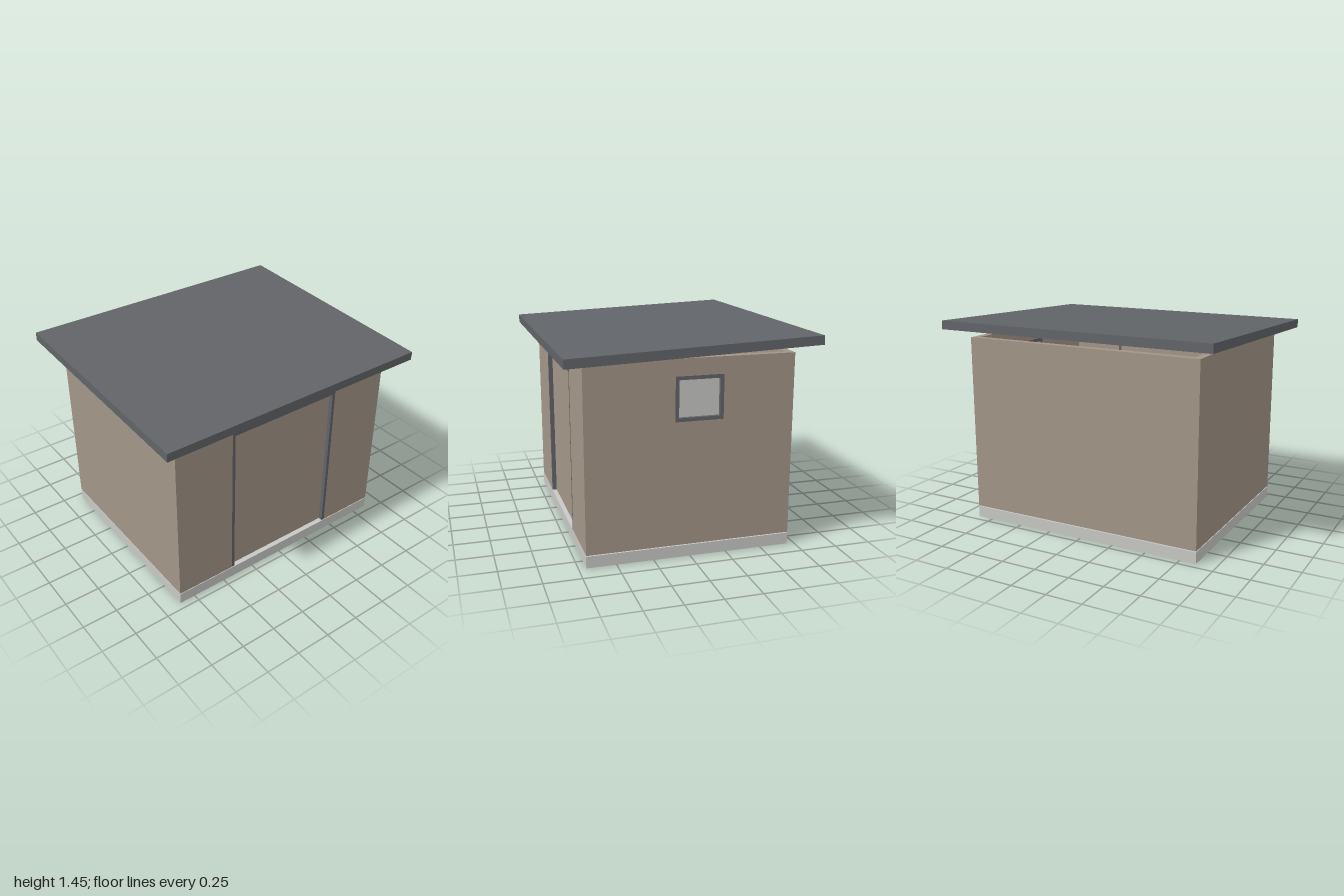
import * as THREE from 'three';

const wallMat = new THREE.MeshStandardMaterial({ name: 'taupe cladding', color: 0xa39688 });
const darkMat = new THREE.MeshStandardMaterial({ name: 'slate grey', color: 0x616468 });
const paleMat = new THREE.MeshStandardMaterial({ name: 'pale concrete', color: 0xc8c9c5 });

// Main dimensions
const W = 0.865, D = 0.7, T = 0.05;
const SLAB = 0.08, BOTTOM = 0.086, TOP = 1.33;

const rect = (Type, x0, y0, x1, y1) => new Type([
  [x0, y0], [x1, y0], [x1, y1], [x0, y1],
].map(([x, y]) => new THREE.Vector2(x, y)));

export function createModel() {
  const model = new THREE.Group();
  model.name = 'shed';

  const add = (name, geometry, material, x = 0, y = 0, z = 0, parent = model) => {
    const mesh = new THREE.Mesh(geometry, material);
    mesh.name = name;
    mesh.position.set(x, y, z);
    parent.add(mesh);
    return mesh;
  };
  const box = (w, h, d) => new THREE.BoxGeometry(w, h, d);
  const panel = (shape, depth) => new THREE.ExtrudeGeometry(shape, { depth, bevelEnabled: false });

  // Foundation slab and inset floor
  add('foundationSlab', box(2 * W, SLAB, 2 * D), paleMat, 0, SLAB / 2, 0);
  add('floor', box(2 * (W - T), BOTTOM - SLAB, 2 * (D - T)), paleMat, 0, (BOTTOM + SLAB) / 2, 0);

  // Front wall with a doorway notch
  const doorX = 0.432, doorTop = 1.217, bar = 0.022;
  const frontShape = new THREE.Shape([
    [-W, BOTTOM], [-doorX, BOTTOM], [-doorX, doorTop], [doorX, doorTop],
    [doorX, BOTTOM], [W, BOTTOM], [W, TOP], [-W, TOP],
  ].map(([x, y]) => new THREE.Vector2(x, y)));
  add('frontWall', panel(frontShape, T), wallMat, 0, 0, D - T);

  // Back wall
  add('backWall', box(2 * W, TOP - BOTTOM, T), wallMat, 0, (TOP + BOTTOM) / 2, -D + T / 2);

  // Right wall, without openings
  add('rightWall', box(T, TOP - BOTTOM, 2 * (D - T)), wallMat, -W + T / 2, (TOP + BOTTOM) / 2, 0);

  // Left wall with window; drawn facing +z, then turned to face +x (local x = -z)
  const left = new THREE.Group();
  left.name = 'leftSide';
  left.rotation.y = Math.PI / 2;
  left.position.x = W - T;
  model.add(left);
  const [x0, y0, x1, y1] = [-0.108, 0.923, 0.216, 1.217];
  const leftShape = rect(THREE.Shape, -(D - T), BOTTOM, D - T, TOP);
  leftShape.holes.push(rect(THREE.Path, x0, y0, x1, y1));
  add('leftWall', panel(leftShape, T), wallMat, 0, 0, 0, left);

  const f = 0.024;
  const windowShape = rect(THREE.Shape, x0, y0, x1, y1);
  windowShape.holes.push(rect(THREE.Path, x0 + f, y0 + f, x1 - f, y1 - f));
  add('windowFrame', panel(windowShape, T), darkMat, 0, 0, 0, left);
  add('windowPane', box(x1 - x0 - 2 * f, y1 - y0 - 2 * f, 0.01), paleMat,
    (x0 + x1) / 2, (y0 + y1) / 2, 0.02, left);

  // Door frame: two jambs and a lintel
  for (const s of [-1, 1]) {
    add(s > 0 ? 'leftDoorJamb' : 'rightDoorJamb', box(bar, doorTop - BOTTOM, T), darkMat,
      s * (doorX - bar / 2), (doorTop + BOTTOM) / 2, D - T / 2);
  }
  add('doorLintel', box(2 * (doorX - bar), bar, T), darkMat, 0, doorTop - bar / 2, D - T / 2);

  // Recessed door leaf
  add('door', box(2 * (doorX - bar), doorTop - bar - BOTTOM, 0.02), wallMat,
    0, (doorTop - bar + BOTTOM) / 2, D - T + 0.01);

  // Overhanging single-pitch roof, lower at the front
  const roof = add('roof', box(2, 0.06, 1.67), darkMat, 0, 1.392, 0);
  roof.rotation.x = Math.atan(0.065 / 1.67);

  return model;
}
